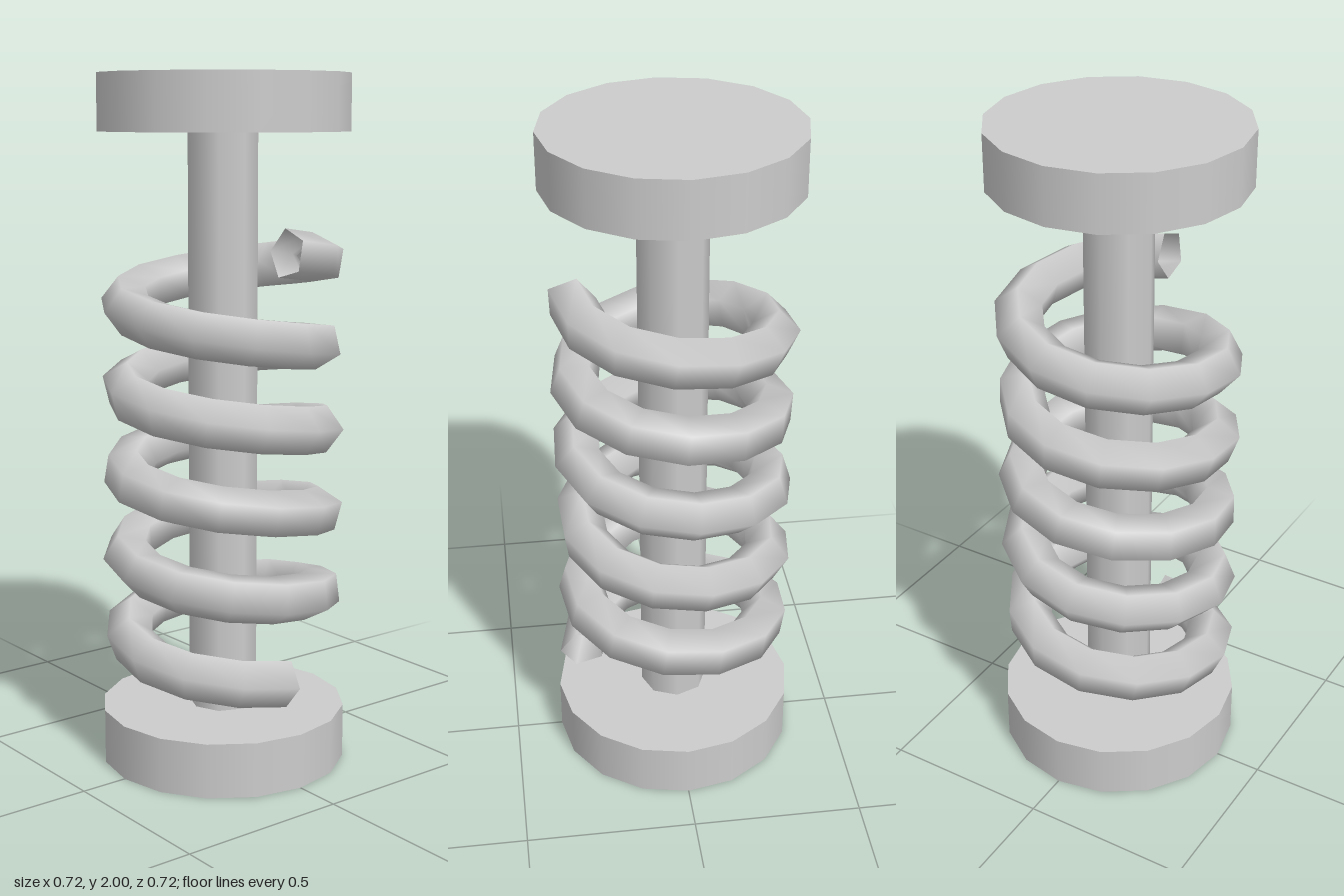
import * as THREE from 'three';

// Rising helix that starts and ends on the +x side
class Helix extends THREE.Curve {
  constructor(radius, bottom, top, turns) {
    super();
    Object.assign(this, { radius, bottom, top, turns });
  }
  getPoint(t, target = new THREE.Vector3()) {
    const a = t * this.turns * Math.PI * 2;
    return target.set(
      Math.cos(a) * this.radius,
      THREE.MathUtils.lerp(this.bottom, this.top, t),
      Math.sin(a) * this.radius
    );
  }
}

export function createModel() {
  const model = new THREE.Group();
  model.name = 'springAssembly';

  const grey = new THREE.MeshStandardMaterial({ color: 0xcccccc, side: THREE.DoubleSide });
  grey.name = 'grey';

  const add = (name, geometry, y = 0) => {
    const mesh = new THREE.Mesh(geometry, grey);
    mesh.name = name;
    mesh.position.y = y;
    model.add(mesh);
  };

  // End discs
  const disc = new THREE.CylinderGeometry(0.36, 0.36, 0.16, 16);
  add('bottomDisc', disc, 0.08);
  add('topDisc', disc, 1.92);

  // Central rod between the discs
  add('rod', new THREE.CylinderGeometry(0.1, 0.1, 1.68, 8), 1);

  // Open-ended five-sided coil
  add('spring', new THREE.TubeGeometry(new Helix(0.283, 0.295, 1.515, 5), 64, 0.071, 5));

  return model;
}
